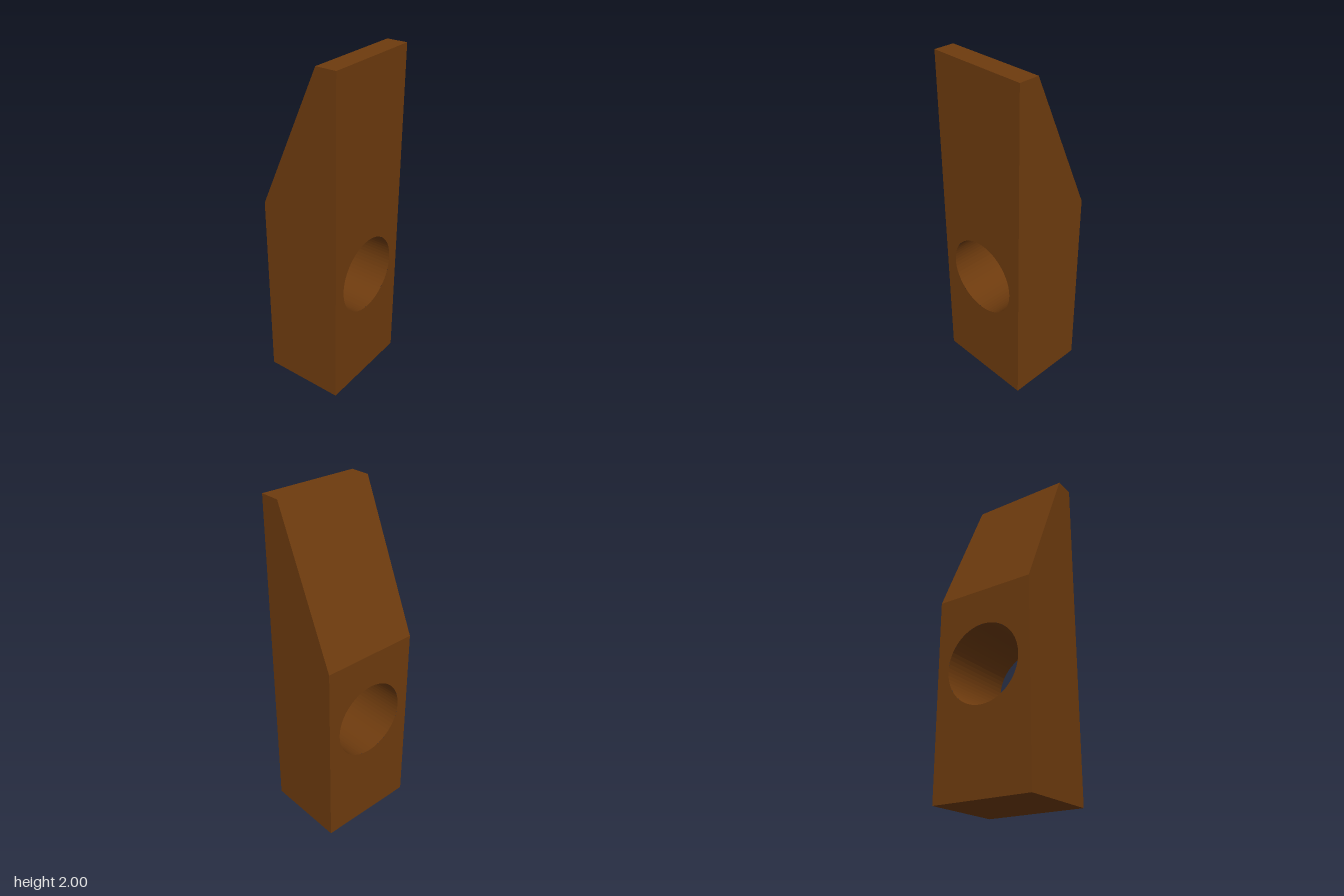
import * as THREE from 'three';
import { mergeGeometries } from 'three/addons/utils/BufferGeometryUtils.js';

const W = 0.303, D = 0.247;            // half width, half depth
const TOP = 2, SHOULDER = 1.16;        // full height, where the back slope begins
const HOLE_Y = 0.718, HOLE_R = 0.231, SEGMENTS = 64;

// Side profile as (z, y), starting at the front bottom corner
const profile = [[D, 0], [D, TOP], [0.125, TOP], [-D, SHOULDER], [-D, 0]];

// Flat side following the profile; dir is +1 for left, -1 for right
function sidePanel(dir) {
  const shape = new THREE.Shape(profile.map(([z, y]) => new THREE.Vector2(-dir * z, y)));
  return new THREE.ShapeGeometry(shape).rotateY(dir * Math.PI / 2).translate(dir * W, 0, 0);
}

// Upright rectangle pierced by the round hole
function piercedPanel(height) {
  const shape = new THREE.Shape([[-W, 0], [W, 0], [W, height], [-W, height]]
    .map(([x, y]) => new THREE.Vector2(x, y)));
  shape.holes.push(new THREE.Path().absarc(0, HOLE_Y, HOLE_R, 0, Math.PI * 2, true));
  return new THREE.ShapeGeometry(shape, SEGMENTS).translate(0, 0, D);
}

// Full-width strip between two neighbouring profile points
function strip(i) {
  const [az, ay] = profile[i], [bz, by] = profile[(i + 1) % profile.length];
  const g = new THREE.PlaneGeometry(1, 1);
  const p = g.attributes.position;
  [[-W, by, bz], [W, by, bz], [-W, ay, az], [W, ay, az]].forEach((c, k) => p.setXYZ(k, ...c));
  return g;
}

export function createModel() {
  const group = new THREE.Group();
  group.name = 'slopedBlock';
  const material = new THREE.MeshStandardMaterial({ color: 0x6e3b0e, flatShading: true });

  function add(name, geometries) {
    const g = mergeGeometries(geometries.map((part) => part.toNonIndexed()));
    g.computeVertexNormals();
    const mesh = new THREE.Mesh(g, material);
    mesh.name = name;
    group.add(mesh);
  }

  // Outer shell: pierced front and back, sides, then top, slope and bottom
  add('block', [
    piercedPanel(TOP),
    piercedPanel(SHOULDER).rotateY(Math.PI),
    sidePanel(1), sidePanel(-1),
    strip(1), strip(2), strip(4),
  ]);

  // Inner wall of the hole, mirrored so that it faces inward
  const bore = new THREE.CylinderGeometry(HOLE_R, HOLE_R, 2 * D, SEGMENTS, 1, true)
    .rotateX(Math.PI / 2).scale(-1, 1, 1).translate(0, HOLE_Y, 0);
  add('holeWall', [bore]);

  return group;
}
